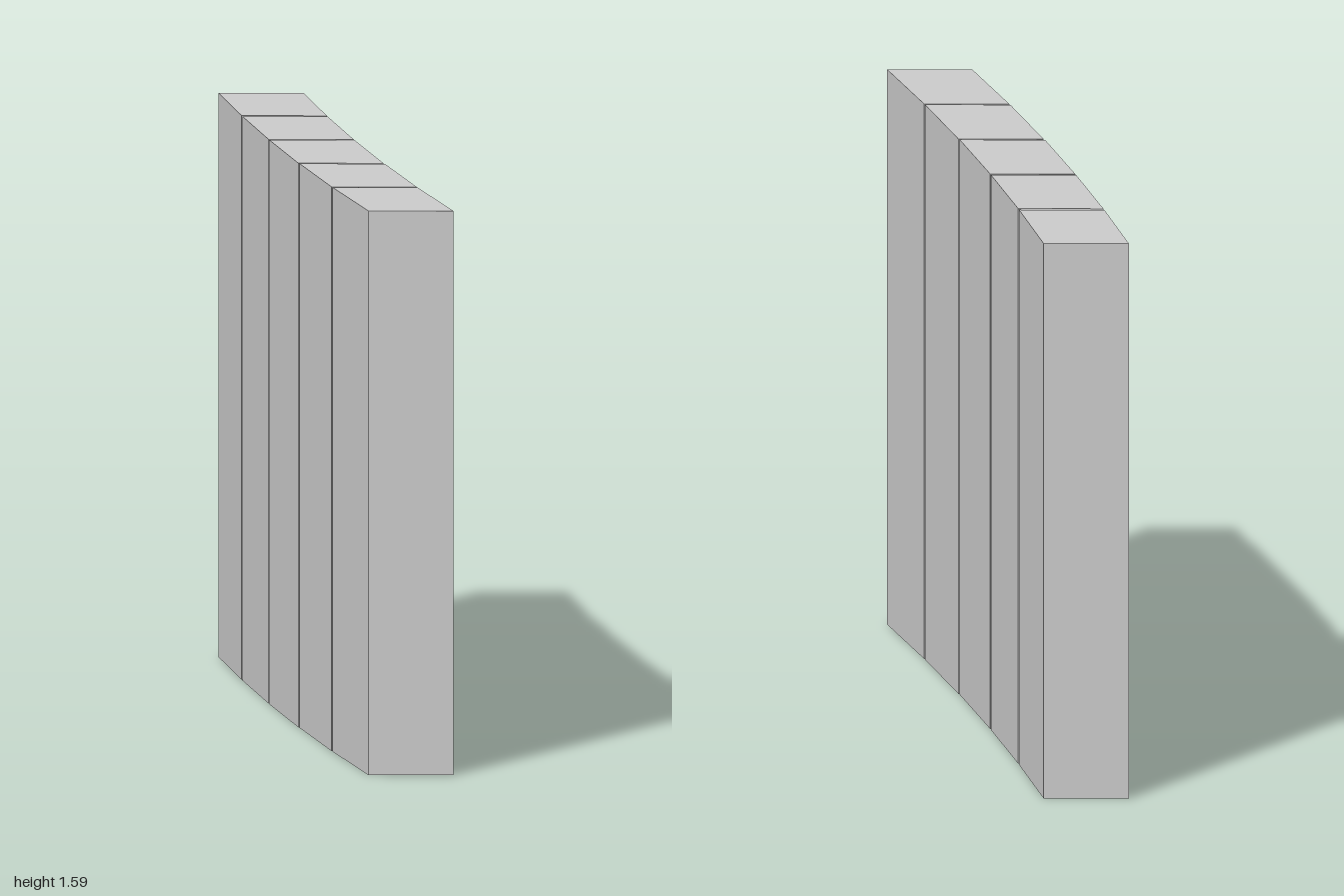
import * as THREE from 'three';

const HEIGHT = 1.594;
const WIDTH = 0.238;

// Each slab's left edge in plan: back x, back z, front x, front z
const SLABS = [
  [-0.364, -0.997, -0.286, -0.611],
  [-0.283, -0.597, -0.197, -0.209],
  [-0.195, -0.2, -0.1, 0.194],
  [-0.096, 0.203, 0.007, 0.597],
  [0.01, 0.606, 0.123, 1.0],
];
const SKEW = 0.003; // right edges sit slightly further back

export function createModel() {
  const group = new THREE.Group();
  group.name = 'slabWall';
  const stone = new THREE.MeshStandardMaterial({ color: 0xcccccc });
  stone.name = 'light grey';

  // Upright slanted slabs with narrow gaps along a gentle curve
  SLABS.forEach(([bx, bz, fx, fz], i) => {
    const plan = new THREE.Shape([
      new THREE.Vector2(fx, -fz),
      new THREE.Vector2(fx + WIDTH, -fz + SKEW),
      new THREE.Vector2(bx + WIDTH, -bz + SKEW),
      new THREE.Vector2(bx, -bz),
    ]);
    const geometry = new THREE.ExtrudeGeometry(plan, { depth: HEIGHT, bevelEnabled: false });
    geometry.rotateX(-Math.PI / 2);
    const slab = new THREE.Mesh(geometry, stone);
    slab.name = `slab${i + 1}`;
    group.add(slab);
  });
  return group;
}
